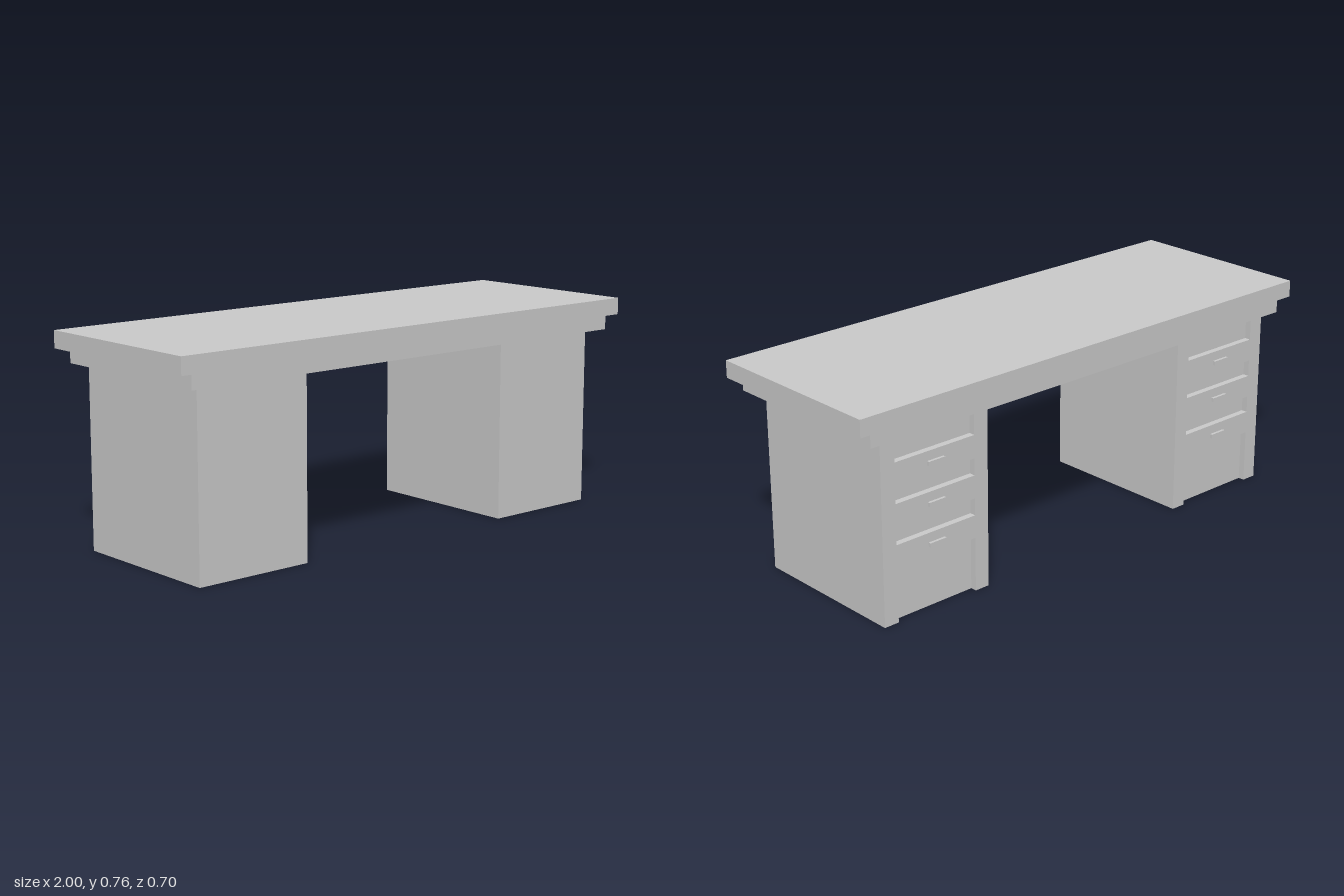
import * as THREE from 'three';

const material = new THREE.MeshStandardMaterial({ color: 0xcccccc, flatShading: true });

// Box given by its lower and upper bounds on each axis
function box(name, [x0, x1], [y0, y1], [z0, z1]) {
  const geometry = new THREE.BoxGeometry(x1 - x0, y1 - y0, z1 - z0);
  const mesh = new THREE.Mesh(geometry, material);
  mesh.name = name;
  mesh.position.set((x0 + x1) / 2, (y0 + y1) / 2, (z0 + z1) / 2);
  return mesh;
}

const HEIGHT = 0.648;       // pedestal height
const HALF = 0.2225;        // pedestal half width
const STILE = 0.057;        // width of the upright frame strips
const BODY_Z = 0.287;       // pedestal half depth
const FACE_Z = -0.31;       // outer plane of the drawer side

// Pedestal: solid body, two stiles, three drawer fronts with handles on the back
function createPedestal(name) {
  const pedestal = new THREE.Group();
  pedestal.name = name;
  pedestal.add(box('pedestalBody', [-HALF, HALF], [0, HEIGHT], [-BODY_Z, BODY_Z]));

  const faceDepth = [FACE_Z, -BODY_Z];
  pedestal.add(box('stile', [-HALF, -HALF + STILE], [0, HEIGHT], faceDepth));
  pedestal.add(box('stile', [HALF - STILE, HALF], [0, HEIGHT], faceDepth));

  for (const y of [0.235, 0.378, 0.5205]) {
    pedestal.add(box('drawerFront', [-HALF + STILE, HALF - STILE], [y - 0.041, y + 0.041], faceDepth));
    pedestal.add(box('drawerHandle', [-0.034, 0.034], [y - 0.0075, y + 0.0075], [FACE_Z - 0.01, FACE_Z]));
  }
  return pedestal;
}

export function createModel() {
  const desk = new THREE.Group();
  desk.name = 'desk';

  // Stepped top
  desk.add(box('deskTop', [-1, 1], [0.701, 0.762], [-0.352, 0.352]));
  desk.add(box('apron', [-0.95, 0.95], [HEIGHT, 0.701], [-0.336, 0.336]));

  // Matching pedestals at both ends
  for (const side of [-1, 1]) {
    const pedestal = createPedestal(side > 0 ? 'leftPedestal' : 'rightPedestal');
    pedestal.position.x = side * 0.6725;
    desk.add(pedestal);
  }
  return desk;
}
